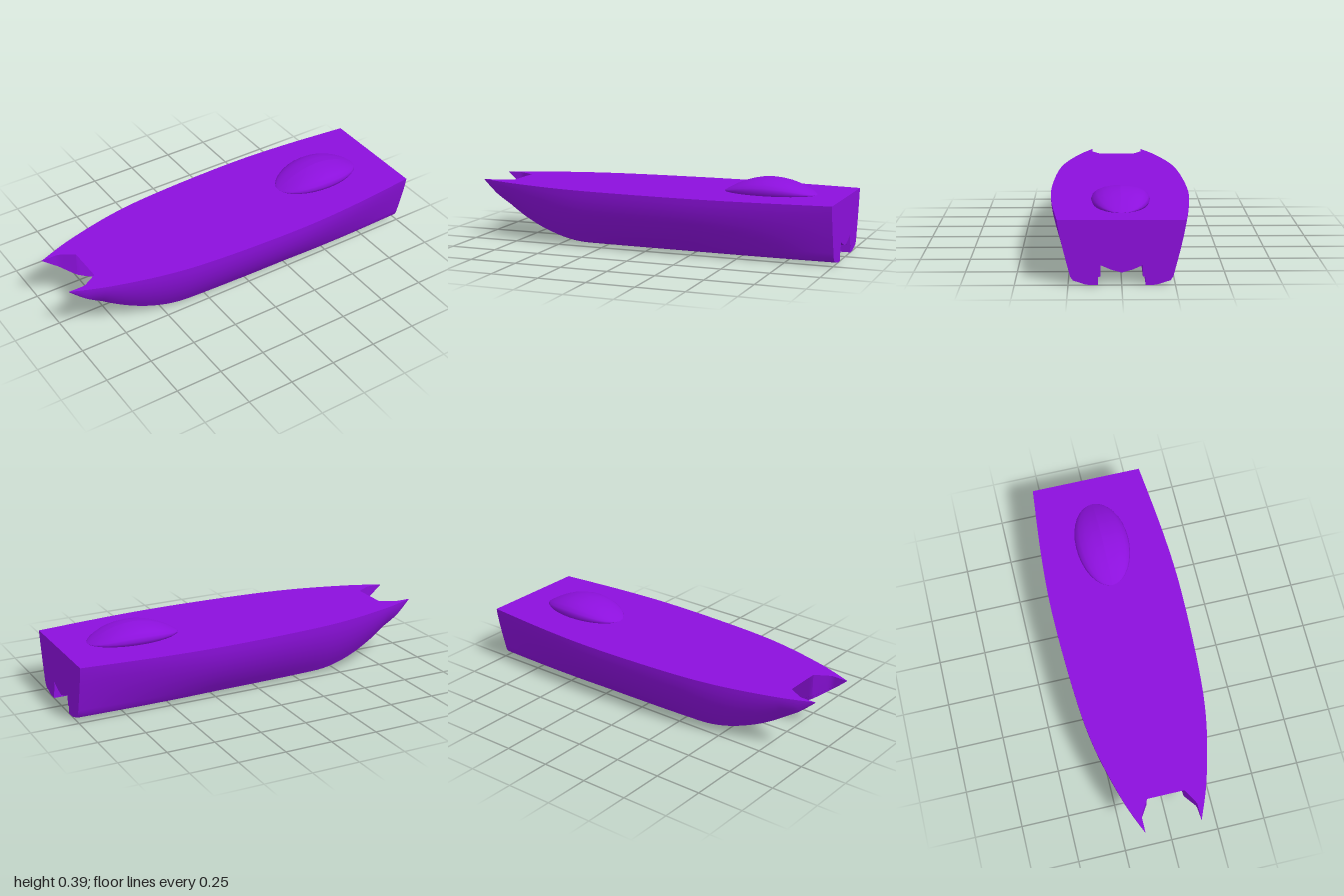
import * as THREE from 'three';
import { toCreasedNormals } from 'three/addons/utils/BufferGeometryUtils.js';

const DECK = 0.31, NOTCH = -0.83;
const material = new THREE.MeshStandardMaterial({ color: 0x8c10dc });

// Piecewise curve through [x, value] points, smoothed by a spline
const planCurve = new THREE.SplineCurve([
  [-1, 0.145], [-0.8, 0.222], [-0.5, 0.298], [-0.2, 0.333], [0.25, 0.35], [0.6, 0.337], [1, 0.3],
].map(p => new THREE.Vector2(...p))).getPoints(160);

function deckWidth(x) {
  for (let i = 1; i < planCurve.length; i++) {
    const a = planCurve[i - 1], b = planCurve[i];
    if (x <= b.x) return THREE.MathUtils.mapLinear(x, a.x, b.x, a.y, b.y);
  }
  return 0.3;
}

// Depth left below the deck: 1 amidships, 0 where the rising bow meets the deck
const depth = (x, tip) => 1 - Math.pow(THREE.MathUtils.clamp((-0.36 - x) / (-0.36 - tip), 0, 1), 1.9);

// Half cross-section as [z, y], from deck centre out, down and back under the tunnel
function section(x) {
  const W = deckWidth(x), s = depth(x, -1), tunnel = depth(x, NOTCH);
  const ahead = x < NOTCH;
  const wall = 0.098 + 0.047 * THREE.MathUtils.clamp((NOTCH - x) / 0.08, 0, 1);
  const stern = THREE.MathUtils.clamp((x - 0.25) / 0.75, 0, 1);
  const inner = Math.min(wall + 0.013 * s, W);
  const chine = inner + (W - inner) * (0.55 + 0.13 * stern);
  const low = y => DECK - (DECK - y) * s;
  const roof = y => DECK - (DECK - y) * tunnel;
  const centre = ahead ? wall : 0;
  const pts = [[centre, DECK]];
  for (let k = 0; k <= 10; k++) {
    const f = 1 - k / 10;
    const bulge = 1 - Math.pow(1 - f, 2 - 0.8 * stern);
    pts.push([chine + (W - chine) * bulge, low(0.04 + (DECK - 0.04) * f)]);
  }
  for (const [t, y] of [[0.9, 0.022], [0.72, 0.015], [0.5, 0.005], [0.3, 0], [0, 0], [0, 0.038]]) {
    pts.push([inner + (chine - inner) * t, low(y)]);
  }
  pts.push([wall, low(0.042)], [wall, roof(0.095)]);
  pts.push([ahead ? wall : 0.05, roof(0.074)], [centre, roof(0.06)]);
  return pts;
}

function hullGeometry() {
  const stations = [];
  for (let i = 0; i <= 12; i++) stations.push(-1 + i * 0.17 / 12 - 0.0002 * (i === 12));
  for (let i = 0; i <= 20; i++) stations.push(NOTCH + i * 0.025);
  for (let i = 1; i <= 24; i++) stations.push(-0.33 + i * 1.33 / 24);
  const positions = [];
  const normal = new THREE.Vector3();
  const add = (a, b, c) => {
    THREE.Triangle.getNormal(a, b, c, normal);
    if (normal.lengthSq() > 0.5) for (const p of [a, b, c]) positions.push(p.x, p.y, p.z);
  };
  for (const side of [1, -1]) {
    const rings = stations.map(x => section(x).map(([z, y]) => new THREE.Vector3(x, y, z * side)));
    const face = (a, b, c) => (side > 0 ? add(a, b, c) : add(a, c, b));
    for (let i = 0; i + 1 < rings.length; i++) {
      for (let j = 0; j + 1 < rings[i].length; j++) {
        face(rings[i][j], rings[i][j + 1], rings[i + 1][j]);
        face(rings[i][j + 1], rings[i + 1][j + 1], rings[i + 1][j]);
      }
    }
    // Transom
    const end = rings[rings.length - 1];
    const flat = end.map(p => new THREE.Vector2(p.z, p.y));
    for (const t of THREE.ShapeUtils.triangulateShape(flat, [])) {
      const [a, b, c] = t.map(n => end[n]);
      THREE.Triangle.getNormal(a, b, c, normal);
      if (normal.x > 0) add(a, b, c); else add(a, c, b);
    }
  }
  const geometry = new THREE.BufferGeometry();
  geometry.setAttribute('position', new THREE.Float32BufferAttribute(positions, 3));
  return toCreasedNormals(geometry, 0.6);
}

// Lens-shaped dome: an ellipsoid whose height falls off towards its two ends
function canopyGeometry() {
  const geometry = new THREE.SphereGeometry(1, 20, 16).rotateZ(-Math.PI / 2);
  const p = geometry.attributes.position;
  for (let i = 0; i < p.count; i++) {
    const x = p.getX(i), s = Math.sqrt(Math.max(0, 1 - x * x));
    p.setXYZ(i, 0.6 + 0.247 * x, DECK + (0.02 * s + 0.061 * p.getY(i)) * s, 0.144 * p.getZ(i));
  }
  geometry.computeVertexNormals();
  return geometry;
}

export function createModel() {
  const boat = new THREE.Group();
  boat.name = 'catamaran';
  const hull = new THREE.Mesh(hullGeometry(), material);
  hull.name = 'twinHull';
  const canopy = new THREE.Mesh(canopyGeometry(), material);
  canopy.name = 'canopy';
  boat.add(hull, canopy);
  return boat;
}
